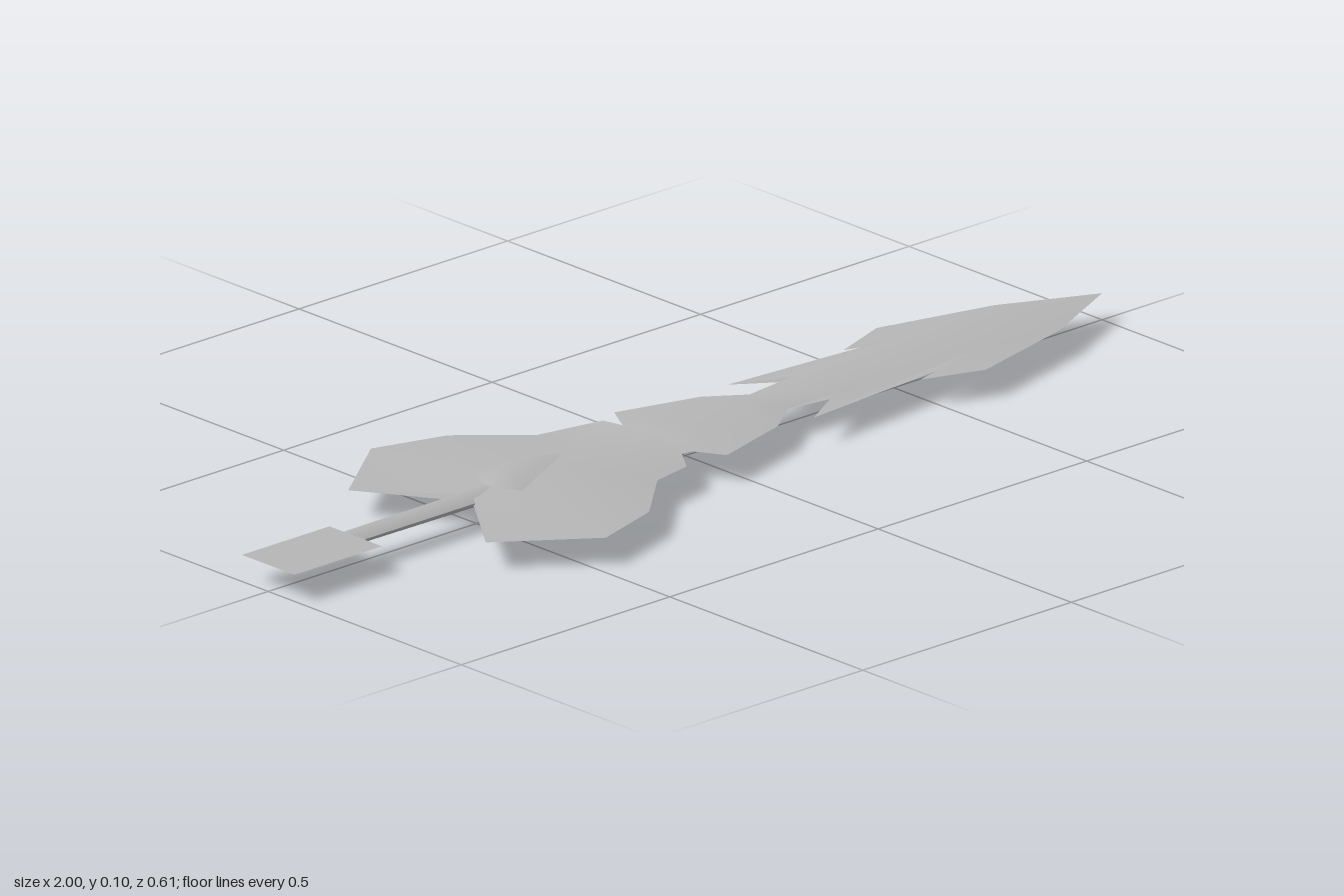
import * as THREE from 'three';
import { mergeVertices } from 'three/addons/utils/BufferGeometryUtils.js';

const MID = 0.05; // height of the horizontal symmetry plane
const steel = new THREE.MeshStandardMaterial({ color: 0xb4b4b4, side: THREE.DoubleSide });
steel.name = 'steel grey';

// Smooth sheet from strips of [inner, outer] point pairs, mirrored across z.
// Faces are turned to point along +axis (0 = x, 1 = y); flip makes the underside.
function sheet(strips, axis, flip) {
  const pos = [];
  const addTri = (pts, s) => {
    let [a, b, c] = pts.map(([x, y, z]) => new THREE.Vector3(x, flip ? 2 * MID - y : y, z * s));
    const n = b.clone().sub(a).cross(c.clone().sub(a));
    if (n.length() < 1e-8) return;
    const want = axis === 1 && flip ? -1 : 1;
    if (n.getComponent(axis) * want < 0) [b, c] = [c, b];
    for (const v of [a, b, c]) pos.push(v.x, v.y, v.z);
  };
  for (const s of [1, -1]) for (const rows of strips) {
    for (let i = 0; i + 1 < rows.length; i++) {
      const [a, b] = rows[i], [c, d] = rows[i + 1];
      addTri([a, b, d], s);
      addTri([a, d, c], s);
    }
  }
  let geo = new THREE.BufferGeometry();
  geo.setAttribute('position', new THREE.Float32BufferAttribute(pos, 3));
  geo = mergeVertices(geo, 1e-5);
  geo.computeVertexNormals();
  return geo;
}

// Upper and lower halves of a part, creased along the outline
function part(name, strips, axis = 1) {
  const g = new THREE.Group();
  g.name = name;
  for (const flip of [false, true]) {
    const m = new THREE.Mesh(sheet(strips, axis, flip), steel);
    m.name = name + (flip ? 'Lower' : 'Upper');
    g.add(m);
  }
  return g;
}

export function createModel() {
  const model = new THREE.Group();
  model.name = 'barbedDart';

  // Spear body: ridge points paired with edge points, plus two pairs of barbs
  const notch1 = [0.31, 0.055, 0.055], notch2 = [0.63, 0.056, 0.068], cheek = [0.82, MID, 0.085];
  const tip = [1, MID, 0];
  model.add(part('spearBody', [
    [
      [[-0.16, 0.062, 0], [-0.14, MID, 0.08]],
      [[-0.07, 0.065, 0], [-0.067, MID, 0.09]],
      [[-0.02, 0.067, 0], [-0.035, MID, 0.146]],
      [[0.13, 0.069, 0], [0.13, MID, 0.1]],
      [[0.2, 0.07, 0], [0.2, MID, 0.05]],
      [[0.31, 0.071, 0], notch1],
      [[0.63, 0.072, 0], notch2],
      [[0.82, 0.063, 0], cheek],
      [tip, tip],
    ],
    [[notch1, [0.205, MID, 0.112]], [notch2, notch2]],
    [[notch2, [0.472, MID, 0.1]], [notch2, [0.59, MID, 0.142]], [cheek, cheek]],
  ]));

  // Broad swept wings
  const crest = [-0.136, 0.089, 0], lip = [-0.104, 0.065, 0.1], side = [-0.125, MID, 0.139];
  model.add(part('wings', [[
    [[-0.51, 0.057, 0], [-0.643, MID, 0.178]],
    [[-0.42, 0.072, 0], [-0.472, MID, 0.304]],
    [[-0.33, 0.077, 0], [-0.328, MID, 0.261]],
    [[-0.23, 0.082, 0], [-0.21, MID, 0.155]],
    [crest, side],
    [crest, lip],
  ]]));

  // Front face closing the wings around the neck
  model.add(part('wingFront', [[
    [crest, [crest[0], MID, 0]],
    [lip, [lip[0], MID, lip[2]]],
    [side, side],
  ]], 0));

  // Thin tail shaft
  model.add(part('tailShaft', [[
    [[-0.82, 0.066, 0], [-0.785, MID, 0.022]],
    [[-0.48, 0.068, 0], [-0.43, MID, 0.022]],
  ]]));

  // Arrowhead rising out of the wings
  model.add(part('tailArrowhead', [[
    [[-0.48, 0.068, 0], [-0.43, 0.064, 0.022]],
    [[-0.425, 0.1, 0], [-0.45, 0.066, 0.064]],
    [[-0.294, 0.08, 0], [-0.294, 0.08, 0]],
  ]]));

  // Flat tail plate
  const plate = new THREE.Mesh(new THREE.PlaneGeometry(0.21, 0.136).rotateX(-Math.PI / 2), steel);
  plate.name = 'tailPlate';
  plate.position.set(-0.895, MID, 0);
  model.add(plate);

  return model;
}
